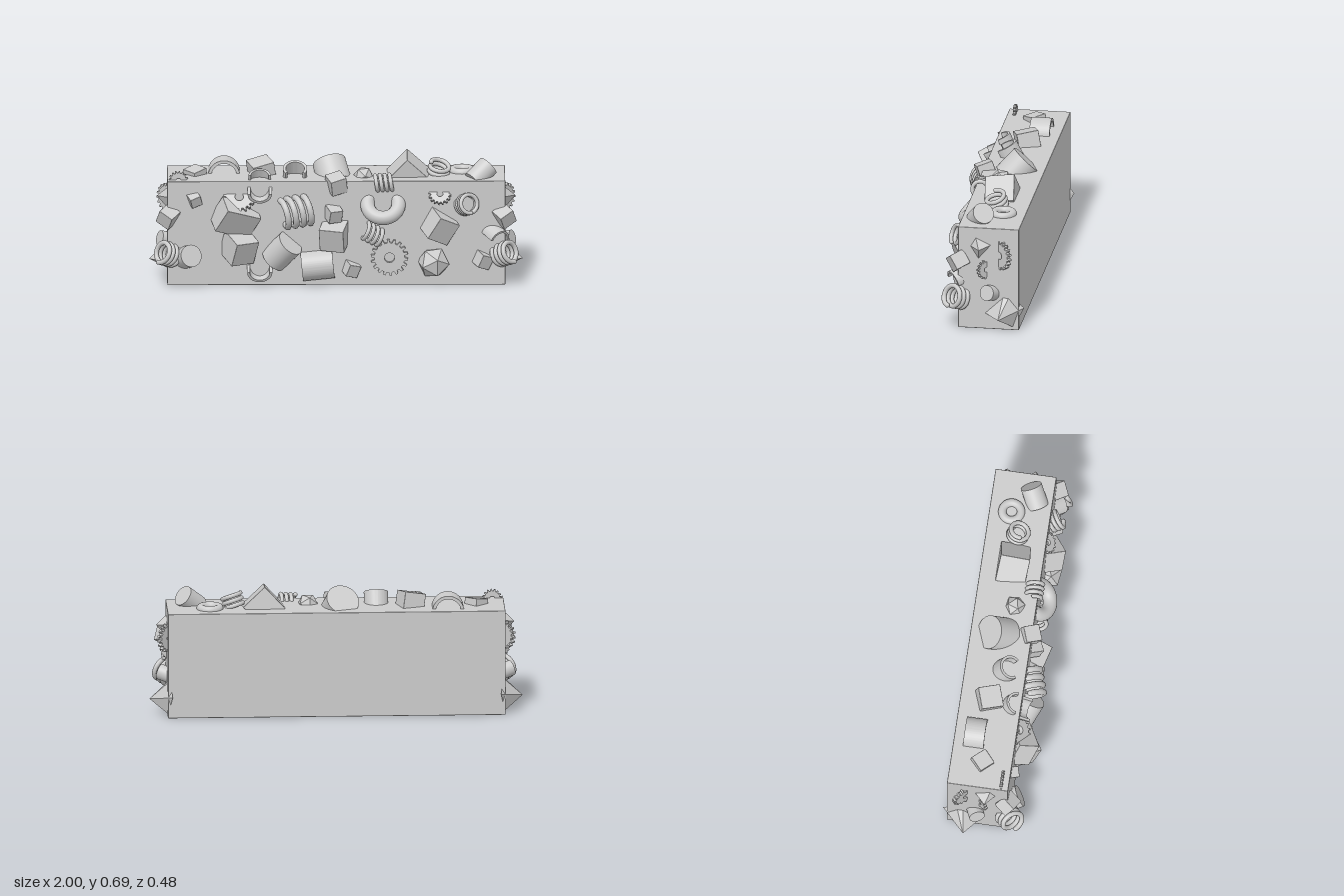
import * as THREE from 'three';
import { toCreasedNormals } from 'three/addons/utils/BufferGeometryUtils.js';
import { RoundedBoxGeometry } from 'three/addons/geometries/RoundedBoxGeometry.js';
import { ConvexGeometry } from 'three/addons/geometries/ConvexGeometry.js';

const smooth = new THREE.MeshStandardMaterial({ color: 0xcccccc });
const flat = new THREE.MeshStandardMaterial({ color: 0xcccccc, flatShading: true });

// Adds a named mesh at a position with an Euler rotation
function add(parent, name, geometry, pos, rot = [0, 0, 0], material = smooth) {
  const mesh = new THREE.Mesh(geometry, material);
  mesh.name = name;
  mesh.position.set(...pos);
  mesh.rotation.set(...rot);
  parent.add(mesh);
}

const cube = (w, h = w, d = w) => new RoundedBoxGeometry(w, h, d, 1, 0.003);
const cylinder = (r, h) => new THREE.CylinderGeometry(r, r, h, 40);

function extrude(shape, depth) {
  const g = new THREE.ExtrudeGeometry(shape, { depth, bevelEnabled: false, curveSegments: 24 });
  g.translate(0, 0, -depth / 2);
  return toCreasedNormals(g, 0.5);
}

// Part of a pipe, arching toward +y with its axis along z
function pipe(R, r, length, arc = Math.PI) {
  const a = Math.PI / 2 - arc / 2, b = Math.PI / 2 + arc / 2;
  const s = new THREE.Shape();
  s.absarc(0, 0, R, a, b, false);
  s.absarc(0, 0, r, b, a, true);
  s.closePath();
  return extrude(s, length);
}

// Toothed wheel with a bore, facing z
function gear(R, teeth, depth) {
  const s = new THREE.Shape();
  for (let i = 0; i < teeth; i++) {
    [[0, 0.82], [0.42, 0.82], [0.55, 1], [0.87, 1]].forEach(([t, k], j) => {
      const a = ((i + t) / teeth) * Math.PI * 2;
      s[i + j ? 'lineTo' : 'moveTo'](R * k * Math.cos(a), R * k * Math.sin(a));
    });
  }
  s.closePath();
  const hole = new THREE.Path();
  hole.absarc(0, 0, R * 0.27, 0, Math.PI * 2, true);
  s.holes.push(hole);
  return extrude(s, depth);
}

// Coil wound about the x axis, with rounded ends
function addSpring(parent, r, wire, length, turns, pos, rot) {
  const points = [];
  const n = Math.round(turns * 16);
  for (let i = 0; i <= n; i++) {
    const a = (i / 16) * Math.PI * 2;
    points.push(new THREE.Vector3((i / n - 0.5) * length, r * Math.cos(a), r * Math.sin(a)));
  }
  const spring = new THREE.Group();
  spring.name = 'spring';
  spring.position.set(...pos);
  spring.rotation.set(...rot);
  const path = new THREE.CatmullRomCurve3(points);
  add(spring, 'coil', new THREE.TubeGeometry(path, n * 2, wire, 10), [0, 0, 0]);
  for (const p of [points[0], points[n]])
    add(spring, 'coilEnd', new THREE.SphereGeometry(wire, 12, 8), p.toArray());
  parent.add(spring);
}

// Scrap studding one end; used on both ends by mirroring
function buildEnd() {
  const end = new THREE.Group();
  const hull = (pts) => new ConvexGeometry(pts.map((p) => new THREE.Vector3(...p)));
  add(end, 'upperShard', hull([[0.89, 0.47, 0.065], [0.9, 0.52, 0.025], [0.9, 0.48, -0.062],
    [0.9, 0.395, 0.01], [0.96, 0.465, 0]]), [0, 0, 0], [0, 0, 0], flat);
  add(end, 'lowerShard', hull([[0.89, 0.195, -0.125], [0.89, 0.195, -0.16], [0.89, 0.09, -0.015],
    [0.9, 0.015, -0.18], [0.88, 0.12, -0.235], [1, 0.085, -0.11]]), [0, 0, 0], [0, 0, 0], flat);
  add(end, 'endGear', gear(0.08, 18, 0.022), [0.9, 0.423, -0.11], [0, 0.85, 0]);
  add(end, 'smallEndGear', gear(0.053, 16, 0.016), [0.9, 0.338, -0.03], [0, 2.3, 0]);
  add(end, 'endPeg', cylinder(0.042, 0.1), [0.9, 0.205, -0.06], [0, -0.4, -1.3]);
  add(end, 'endCube', cube(0.085), [0.9, 0.38, 0.12], [0.4, 0.6, 0.3]);
  addSpring(end, 0.055, 0.013, 0.1, 3.5, [0.905, 0.175, 0.125], [0, -0.75, 0.35]);
  return end;
}

export function createModel() {
  const model = new THREE.Group();
  model.name = 'studdedBlock';
  add(model, 'block', new RoundedBoxGeometry(1.81, 0.575, 0.33, 2, 0.004), [0, 0.2875, -0.045]);

  const left = buildEnd();
  left.name = 'leftEnd';
  const right = buildEnd();
  right.name = 'rightEnd';
  right.scale.x = -1;
  model.add(left, right);

  // Cubes: size, position, rotation
  const cubes = [
    // front
    [[0.06], [-0.76, 0.475, 0.12], [0.4, 0.4, 0.2]],
    [[0.21, 0.15, 0.12], [-0.54, 0.375, 0.125], [0.5, 0.25, -0.5]],
    [[0.14], [-0.52, 0.215, 0.135], [0.45, 0.5, -0.25]],
    [[0.07], [0.08, 0.092, 0.125], [0.3, 0.4, -0.4]],
    [[0.135], [-0.01, 0.28, 0.125], [0.35, -0.25, 0.05]],
    [[0.075], [-0.015, 0.398, 0.13], [0.4, 0.4, -0.15]],
    [[0.135], [0.55, 0.33, 0.125], [0.35, 0.4, -0.6]],
    [[0.075], [0.785, 0.14, 0.125], [0.3, 0.5, -0.5]],
    // top
    [[0.09, 0.05, 0.09], [-0.755, 0.58, -0.04], [0.1, 0.75, 0.1]],
    [[0.12], [-0.4, 0.585, -0.055], [0.15, 0.35, 0.15]],
    [[0.09], [0, 0.56, 0.11], [0.3, 0.4, 0.1]],
    [[0.16], [0.385, 0.572, -0.04], [0.13, 0, -0.75]],
  ];
  for (const [size, pos, rot] of cubes) add(model, 'cube', cube(...size), pos, rot);

  // Pegs: radius, length, position, rotation
  const pegs = [
    [0.075, 0.15, [-0.29, 0.19, 0.125], [0.5, 0, -0.65]],
    [0.06, 0.12, [-0.8, 0.155, 0.115], [1.2, 0, -0.4]],
    [0.09, 0.14, [-0.02, 0.57, -0.06], [-0.75, 0, 0.25]],
    [0.058, 0.12, [0.775, 0.59, 0.02], [-0.6, 0, -0.75]],
  ];
  for (const [r, h, pos, rot] of pegs) add(model, 'peg', cylinder(r, h), pos, rot);

  // Cut pipes: outer and inner radius, length, arc, position, rotation
  const PI = Math.PI;
  const pipes = [
    [0.065, 0.05, 0.1, PI, [-0.41, 0.54, 0.13], [0.45, 0, PI]],
    [0.067, 0.053, 0.1, PI, [-0.41, 0.105, 0.13], [0.45, 0, PI]],
    [0.08, 0.066, 0.17, PI, [-0.1, 0.11, 0.11], [PI / 2, PI / 2 + 0.1, 0]],
    [0.06, 0.048, 0.09, PI, [0.85, 0.265, 0.115], [0.4, 0.6, -0.4]],
    [0.085, 0.068, 0.11, PI, [-0.6, 0.56, -0.1], [0, 0, 0]],
    [0.06, 0.047, 0.09, PI, [-0.41, 0.56, 0.08], [-1.15, 0, 0]],
    [0.065, 0.05, 0.1, PI * 1.4, [-0.22, 0.58, 0.015], [-1.1, 0, 0]],
  ];
  for (const [R, r, len, arc, pos, rot] of pipes) add(model, 'cutPipe', pipe(R, r, len, arc), pos, rot);

  // Gears: radius, teeth, thickness, position, rotation
  const gears = [
    [0.1, 18, 0.03, [0.285, 0.155, 0.125], [0, 0, 0]],
    [0.085, 18, 0.025, [-0.52, 0.485, 0.12], [-0.7, 0, 0]],
    [0.06, 16, 0.018, [0.555, 0.5, 0.12], [-0.75, 0, 0]],
    [0.052, 16, 0.015, [-0.845, 0.57, 0.08], [0, 0, 0]],
  ];
  for (const [R, teeth, d, pos, rot] of gears) add(model, 'gear', gear(R, teeth, d), pos, rot);

  // Springs: radius, wire, length, turns, position, rotation
  const springs = [
    [0.075, 0.017, 0.15, 3.5, [-0.22, 0.41, 0.13], [0, 0.3, 0.1]],
    [0.045, 0.011, 0.11, 4, [0.2, 0.28, 0.12], [0, 0.2, -0.5]],
    [0.05, 0.011, 0.08, 3.5, [0.7, 0.45, 0.135], [0, -1.15, 0.3]],
    [0.042, 0.011, 0.09, 3.5, [0.255, 0.56, 0.095], [0, 0, 0.05]],
    [0.05, 0.012, 0.08, 3, [0.55, 0.595, -0.035], [0.25, 0, 1.35]],
  ];
  for (const s of springs) addSpring(model, ...s);

  // Rings and faceted balls
  add(model, 'frontRing', new THREE.TorusGeometry(0.083, 0.038, 20, 48), [0.25, 0.445, 0.12], [-0.8, 0, 0]);
  add(model, 'topRing', new THREE.TorusGeometry(0.05, 0.022, 16, 40), [0.675, 0.578, -0.09], [PI / 2, 0, 0]);
  add(model, 'frontBall', new THREE.IcosahedronGeometry(0.088), [0.52, 0.125, 0.125], [0.2, 0.3, 0], flat);
  add(model, 'topBall', new THREE.IcosahedronGeometry(0.057), [0.147, 0.57, 0.005], [0.3, 0.2, 0], flat);
  return model;
}
